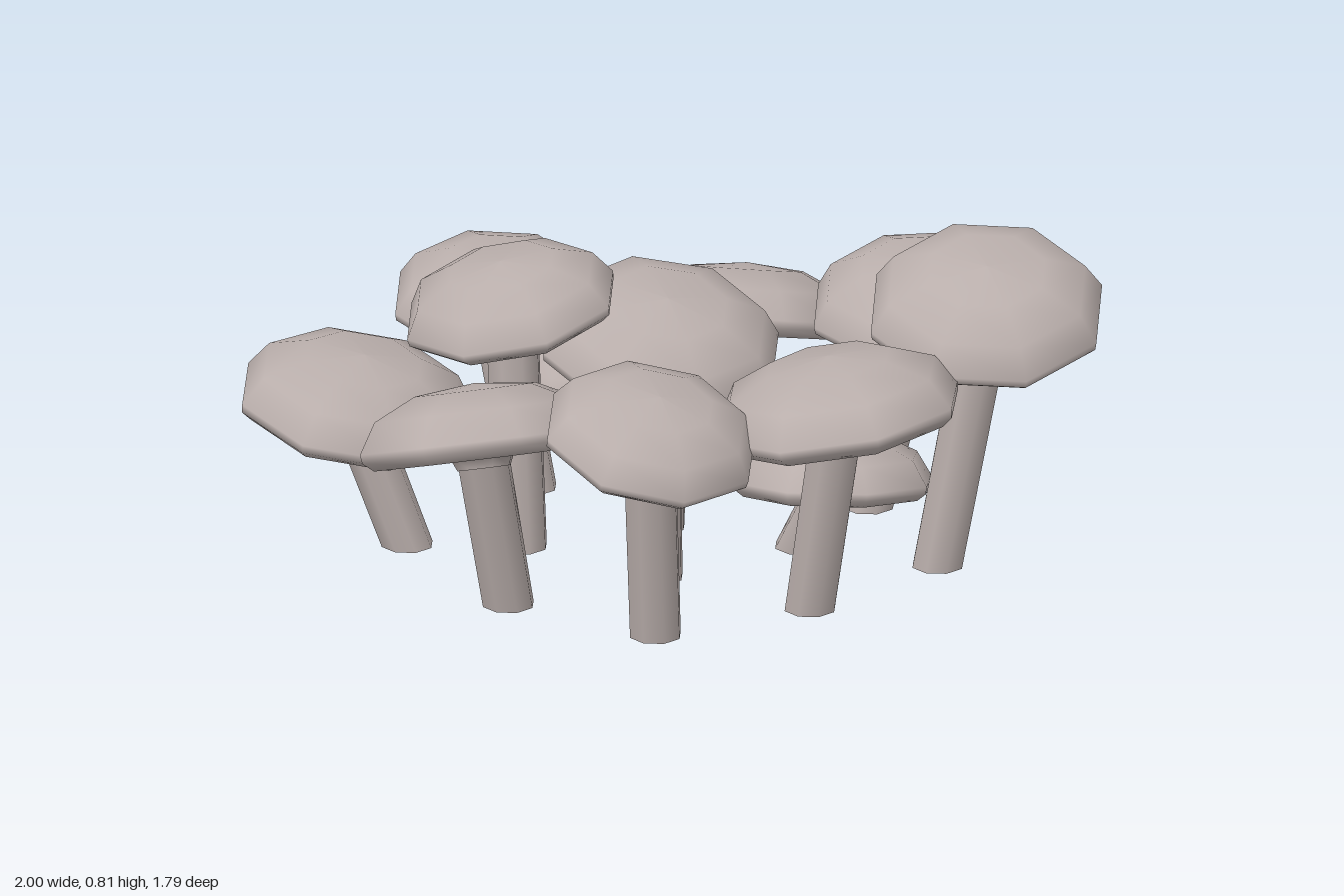
import * as THREE from 'three';

// cap centre x, y, z, rim radius, lean in x and z, stem foot x, z
const MUSHROOMS = [
  [-0.54, 0.18, -0.64, 0.255, 0.0, 0.2, -0.47, -0.53],
  [-0.105, 0.38, -0.57, 0.288, -0.1, -0.36, -0.09, -0.48],
  [0.37, 0.51, -0.54, 0.262, 0.0, 0.2, 0.28, -0.46],
  [-0.61, 0.45, -0.26, 0.256, 0.1, 0.15, -0.5, -0.22],
  [-0.115, 0.46, -0.14, 0.298, 0.24, 0.18, -0.11, -0.12],
  [0.34, 0.19, -0.14, 0.25, -0.08, -0.2, 0.25, -0.15],
  [0.71, 0.66, -0.22, 0.292, 0.15, 0.28, 0.6, -0.18],
  [-0.71, 0.36, 0.30, 0.292, 0.19, 0.03, -0.6, 0.25],
  [-0.38, 0.61, 0.14, 0.266, -0.15, 0.15, -0.35, 0.14],
  [0.035, 0.37, 0.20, 0.244, 0.12, 0.0, 0.03, 0.18],
  [0.535, 0.53, 0.24, 0.31, -0.18, 0.0, 0.45, 0.21],
  [-0.235, 0.45, 0.60, 0.305, -0.28, -0.28, -0.21, 0.5],
  [0.225, 0.54, 0.615, 0.266, 0.28, 0.12, 0.195, 0.53],
];

// Collar, underside, rim and dome for a rim radius of 1, bottom to top
const CAP_PROFILE = [
  [0.22, -0.22], [0.27, -0.11], [0.9, -0.14], [0.99, -0.07], [1, 0],
  [0.85, 0.24], [0.5, 0.4], [0, 0.45],
].map(([r, y]) => new THREE.Vector2(r, y));

export function createModel() {
  const group = new THREE.Group();
  group.name = 'mushroomCluster';
  // Double sided because the stems are open at the foot
  const flesh = new THREE.MeshStandardMaterial({ color: 0xb9aeab, side: THREE.DoubleSide });
  flesh.name = 'greyBeige';
  const capGeometry = new THREE.LatheGeometry(CAP_PROFILE, 8);
  const up = new THREE.Vector3(0, 1, 0);

  for (const [x, y, z, radius, leanX, leanZ, footX, footZ] of MUSHROOMS) {
    const mushroom = new THREE.Group();
    mushroom.name = 'mushroom';

    // Eight-sided cap, tilted along its lean
    const cap = new THREE.Mesh(capGeometry, flesh);
    cap.name = 'cap';
    const normal = new THREE.Vector3(leanX, 1, leanZ).normalize();
    cap.quaternion.setFromUnitVectors(up, normal);
    cap.position.set(x, y, z);
    cap.scale.setScalar(radius);

    // Slanted stem with a level foot, sheared to meet the cap
    const top = cap.position.clone().addScaledVector(normal, -0.07 * radius);
    const stemGeometry = new THREE.CylinderGeometry(0.066, 0.064, top.y, 8, 1, true);
    stemGeometry.translate(0, top.y / 2, 0);
    const shear = new THREE.Matrix4().set(
      1, (top.x - footX) / top.y, 0, footX,
      0, 1, 0, 0,
      0, (top.z - footZ) / top.y, 1, footZ,
      0, 0, 0, 1);
    stemGeometry.applyMatrix4(shear);
    const stem = new THREE.Mesh(stemGeometry, flesh);
    stem.name = 'stem';

    mushroom.add(cap, stem);
    group.add(mushroom);
  }
  return group;
}
